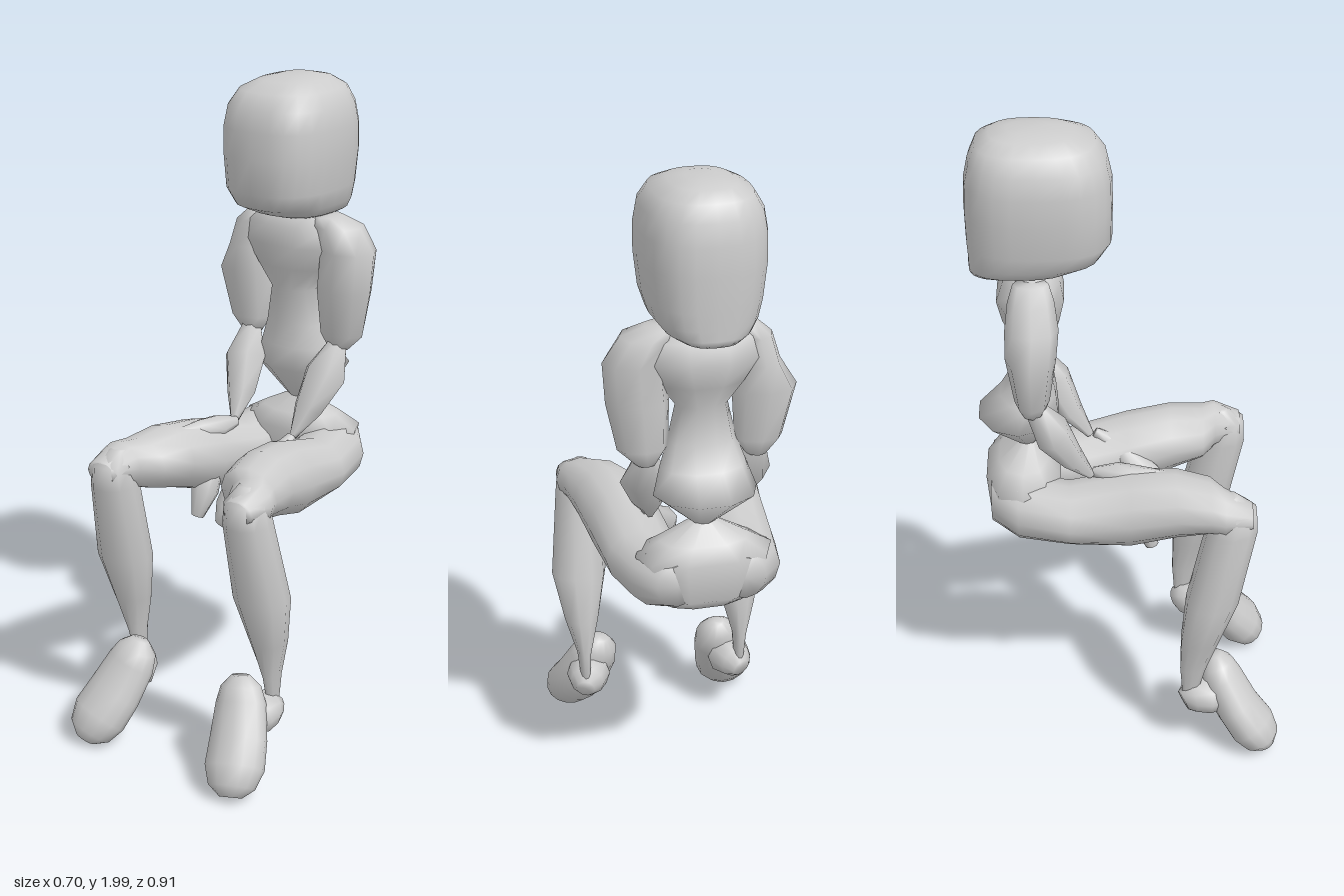
import * as THREE from 'three';

const skin = new THREE.MeshStandardMaterial({ color: 0xcccccc });
skin.name = 'plain grey';

// Closed skin over oval rings [x, y, z, halfWidth, halfDepth].
// side: 1 or -1 mirrors x; axis: fixed ring normal; power: >2 gives squarer ovals.
function loft(name, rings, { side = 1, axis = null, sides = 10, power = 2 } = {}) {
  const centres = rings.map(([x, y, z]) => new THREE.Vector3(x * side, y, z));
  const pos = [], index = [], n = rings.length;
  const round = v => Math.sign(v) * Math.abs(v) ** (2 / power);
  rings.forEach(([, , , a, b], i) => {
    const t = axis
      ? new THREE.Vector3(...axis).normalize()
      : centres[Math.min(i + 1, n - 1)].clone().sub(centres[Math.max(i - 1, 0)]).normalize();
    const u = new THREE.Vector3(1, 0, 0).addScaledVector(t, -t.x).normalize();
    const v = t.clone().cross(u);
    for (let j = 0; j < sides; j++) {
      const k = (j / sides) * Math.PI * 2;
      const p = centres[i].clone()
        .addScaledVector(u, a * round(Math.cos(k)))
        .addScaledVector(v, b * round(Math.sin(k)));
      pos.push(p.x, p.y, p.z);
    }
  });
  const first = n * sides, last = first + 1;
  pos.push(...centres[0].toArray(), ...centres[n - 1].toArray());
  for (let j = 0; j < sides; j++) {
    const k = (j + 1) % sides, top = (n - 1) * sides;
    for (let i = 0; i < n - 1; i++) {
      const a = i * sides + j, b = i * sides + k;
      index.push(a, b, b + sides, a, b + sides, a + sides);
    }
    index.push(first, k, j, last, top + j, top + k);
  }
  const geo = new THREE.BufferGeometry();
  geo.setAttribute('position', new THREE.Float32BufferAttribute(pos, 3));
  geo.setIndex(index);
  geo.computeVertexNormals();
  const mesh = new THREE.Mesh(geo, skin);
  mesh.name = name;
  return mesh;
}

export function createModel() {
  const figure = new THREE.Group();
  figure.name = 'seatedFigure';
  const up = [0, 1, 0], forward = [0, 0, 1];

  // Large blocky head with a flat back and a rounded brow
  figure.add(loft('head', [
    [0, 1.583, -0.33, 0.085, 0.118],
    [0, 1.6, -0.3, 0.12, 0.15],
    [0, 1.63, -0.265, 0.145, 0.185],
    [0, 1.68, -0.25, 0.16, 0.203],
    [0, 1.78, -0.25, 0.172, 0.205],
    [0, 1.86, -0.249, 0.172, 0.203],
    [0, 1.92, -0.249, 0.162, 0.19],
    [0, 1.965, -0.255, 0.135, 0.165],
    [0, 1.99, -0.265, 0.09, 0.115],
    [0, 2.0, -0.27, 0.045, 0.06],
  ], { axis: up, sides: 24, power: 2.6 }));

  // Torso: puffy shoulders, thin waist, sharp flared lower back ending in a point
  figure.add(loft('torso', [
    [0, 0.99, -0.3, 0.015, 0.015],
    [0, 1.11, -0.325, 0.15, 0.122],
    [0, 1.18, -0.295, 0.125, 0.085],
    [0, 1.25, -0.28, 0.1, 0.058],
    [0, 1.36, -0.275, 0.075, 0.06],
    [0, 1.43, -0.28, 0.13, 0.085],
    [0, 1.5, -0.28, 0.18, 0.1],
    [0, 1.56, -0.275, 0.175, 0.085],
    [0, 1.6, -0.27, 0.1, 0.06],
  ], { axis: up }));

  // Wide bowl-shaped pelvis
  figure.add(loft('pelvis', [
    [0, 0.76, -0.31, 0.12, 0.07],
    [0, 0.8, -0.32, 0.17, 0.1],
    [0, 0.92, -0.315, 0.2, 0.115],
    [0, 0.96, -0.315, 0.13, 0.075],
    [0, 1.02, -0.3, 0.015, 0.015],
  ], { axis: up, power: 2.4 }));

  // Upper arms: a full left one, and a right one with its elbow pushed outward
  figure.add(loft('leftUpperArm', [
    [0.16, 1.19, -0.28, 0.03, 0.03],
    [0.168, 1.24, -0.28, 0.073, 0.05],
    [0.18, 1.38, -0.272, 0.09, 0.072],
    [0.19, 1.5, -0.275, 0.088, 0.078],
    [0.155, 1.57, -0.275, 0.075, 0.075],
    [0.12, 1.595, -0.275, 0.04, 0.05],
  ], { axis: up, sides: 8 }));
  figure.add(loft('rightUpperArm', [
    [-0.16, 1.19, -0.28, 0.03, 0.03],
    [-0.165, 1.24, -0.28, 0.07, 0.05],
    [-0.18, 1.39, -0.28, 0.094, 0.072],
    [-0.165, 1.47, -0.275, 0.06, 0.075],
    [-0.15, 1.55, -0.275, 0.05, 0.065],
    [-0.12, 1.59, -0.275, 0.035, 0.05],
  ], { axis: up, sides: 8 }));

  for (const side of [1, -1]) {
    const s = side > 0 ? 'left' : 'right';

    // Diamond-shaped forearm
    figure.add(loft(s + 'Forearm', [
      [0.11, 0.945, -0.115, 0.012, 0.012],
      [0.125, 1.02, -0.17, 0.05, 0.035],
      [0.15, 1.12, -0.225, 0.072, 0.055],
      [0.16, 1.21, -0.275, 0.03, 0.03],
    ], { side, sides: 6 }));

    // Thigh running forward and outward to a blunt knee
    figure.add(loft(s + 'Thigh', [
      [0.1, 0.86, -0.41, 0.06, 0.065],
      [0.12, 0.85, -0.33, 0.105, 0.095],
      [0.145, 0.838, -0.18, 0.11, 0.09],
      [0.16, 0.862, 0, 0.11, 0.115],
      [0.18, 0.89, 0.13, 0.108, 0.1],
      [0.202, 0.895, 0.23, 0.1, 0.078],
      [0.24, 0.895, 0.27, 0.075, 0.07],
      [0.25, 0.89, 0.35, 0.05, 0.035],
    ], { side, axis: forward, sides: 12 }));

    // Shin tapering to a thin ankle
    figure.add(loft(s + 'Shin', [
      [0.255, 0.23, 0.18, 0.015, 0.025],
      [0.257, 0.32, 0.187, 0.022, 0.04],
      [0.258, 0.44, 0.207, 0.055, 0.06],
      [0.257, 0.59, 0.24, 0.086, 0.08],
      [0.245, 0.84, 0.292, 0.07, 0.077],
      [0.245, 0.91, 0.3, 0.062, 0.065],
      [0.235, 0.95, 0.28, 0.025, 0.03],
    ], { side, axis: up }));

    // Heel and rounded foot pointing down and outward
    figure.add(loft(s + 'Heel', [
      [0.26, 0.195, 0.16, 0.03, 0.035],
      [0.25, 0.205, 0.185, 0.055, 0.055],
      [0.235, 0.205, 0.235, 0.07, 0.065],
      [0.225, 0.2, 0.3, 0.05, 0.05],
    ], { side }));
    figure.add(loft(s + 'Foot', [
      [0.193, 0.325, 0.255, 0.03, 0.025],
      [0.198, 0.295, 0.262, 0.063, 0.053],
      [0.21, 0.25, 0.278, 0.078, 0.065],
      [0.238, 0.16, 0.328, 0.09, 0.068],
      [0.26, 0.095, 0.376, 0.093, 0.073],
      [0.273, 0.05, 0.408, 0.073, 0.058],
      [0.28, 0.025, 0.422, 0.035, 0.028],
    ], { side, sides: 14 }));
  }

  // Hands: one hanging between the thighs, one resting against the inner thigh
  figure.add(loft('leftHand', [
    [0.115, 0.95, -0.1, 0.015, 0.015],
    [0.11, 0.9, -0.03, 0.04, 0.035],
    [0.05, 0.83, 0.05, 0.065, 0.05],
    [0.035, 0.76, 0.09, 0.055, 0.048],
    [0.015, 0.71, 0.11, 0.025, 0.025],
  ], { sides: 8 }));
  figure.add(loft('rightHand', [
    [-0.1, 0.95, -0.11, 0.015, 0.015],
    [-0.115, 0.95, -0.04, 0.04, 0.035],
    [-0.135, 0.95, 0.03, 0.035, 0.035],
    [-0.148, 0.96, 0.11, 0.014, 0.02],
  ], { sides: 8 }));
  figure.add(loft('rightFingers', [
    [-0.1, 0.85, 0, 0.03, 0.03],
    [-0.105, 0.77, 0.04, 0.045, 0.04],
    [-0.115, 0.69, 0.065, 0.02, 0.02],
  ], { sides: 8 }));

  return figure;
}
